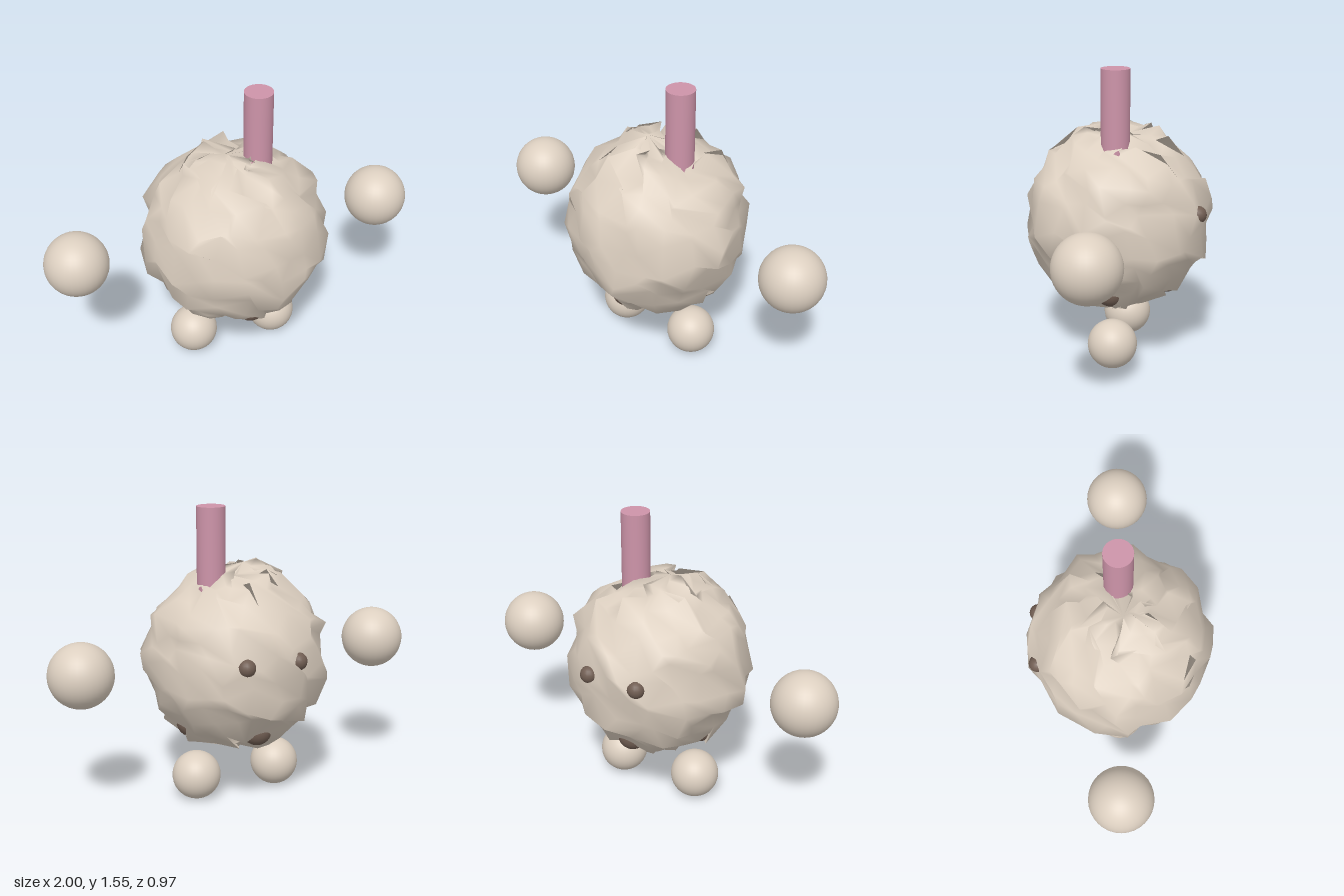
import * as THREE from 'three';
import { mergeVertices } from 'three/addons/utils/BufferGeometryUtils.js';

const skin = new THREE.MeshStandardMaterial({ color: 0xdccfc0, side: THREE.DoubleSide });
skin.name = 'beige skin';
const pink = new THREE.MeshStandardMaterial({ color: 0xcd94a9 });
pink.name = 'pink stalk';
const brown = new THREE.MeshStandardMaterial({ color: 0x705d52 });
brown.name = 'dark brown spots';

// Small seeded generator, values in -1..1
function seeded(seed) {
  return () => {
    seed = (seed * 16807) % 2147483647;
    return (seed / 2147483647) * 2 - 1;
  };
}

// Larger bumps (+) and dents (-) of the body: direction, height
const swells = [
  [0.14, 0.4, 0, -0.05], [0, 0.37, -0.38, 0.035], [0, -0.32, -0.45, 0.035],
  [-0.2, 0.49, 0, 0.02], [0.4, 0.3, 0, 0.025], [-0.42, -0.36, 0, 0.025],
  [0.38, -0.38, 0, 0.02], [-0.47, 0, 0.3, 0.04], [0, 0.39, 0.34, 0.02],
].map(([x, y, z, h]) => ({ dir: new THREE.Vector3(x, y, z).normalize(), h }));

// Crumpled ball: welded sphere vertices shift sideways freely and in or out a little
function crumpledBall(radius, sideways, outward) {
  let geo = new THREE.SphereGeometry(radius, 24, 16);
  geo.deleteAttribute('uv');
  geo.deleteAttribute('normal');
  geo = mergeVertices(geo, 1e-4);
  const pos = geo.attributes.position;
  const rand = seeded(4711);
  const p = new THREE.Vector3();
  for (let i = 0; i < pos.count; i++) {
    p.fromBufferAttribute(pos, i);
    p.x += rand() * sideways;
    p.y += rand() * sideways;
    p.z += rand() * sideways;
    p.normalize();
    let r = radius + rand() * outward;
    for (const s of swells) r += s.h * Math.exp(-20 * (1 - p.dot(s.dir)));
    p.multiplyScalar(r);
    pos.setXYZ(i, p.x, p.y, p.z);
  }
  geo.computeVertexNormals();
  return geo;
}

export function createModel() {
  const model = new THREE.Group();
  model.name = 'crumpledCreature';

  const add = (name, geometry, material, x, y, z) => {
    const mesh = new THREE.Mesh(geometry, material);
    mesh.name = name;
    mesh.position.set(x, y, z);
    model.add(mesh);
  };

  // Body and the stalk on top
  add('body', crumpledBall(0.472, 0.058, 0.032), skin, 0, 0.762, 0);
  add('stalk', new THREE.CylinderGeometry(0.073, 0.073, 0.45, 32), pink, 0.137, 1.323, -0.005);

  // Floating hands and feet, and a pair of small eyes on the back side
  const hand = new THREE.SphereGeometry(0.165, 32, 24);
  const foot = new THREE.SphereGeometry(0.128, 32, 24);
  const eye = new THREE.SphereGeometry(0.045, 16, 12);
  for (const [side, s] of [['left', 1], ['right', -1]]) {
    add(side + 'Hand', hand, skin, s * 0.835, 0.762, -0.005);
    add(side + 'Foot', foot, skin, s * 0.23, 0.13, -0.005);
    add(side + 'Eye', eye, brown, s * 0.14, 0.825, -0.425);
  }

  // Four spots around the underside
  const spot = new THREE.SphereGeometry(0.078, 20, 14);
  for (let i = 0; i < 4; i++) {
    const a = (i * Math.PI) / 2;
    add('spot' + (i + 1), spot, brown, Math.sin(a) * 0.254, 0.43, Math.cos(a) * 0.254);
  }

  return model;
}
